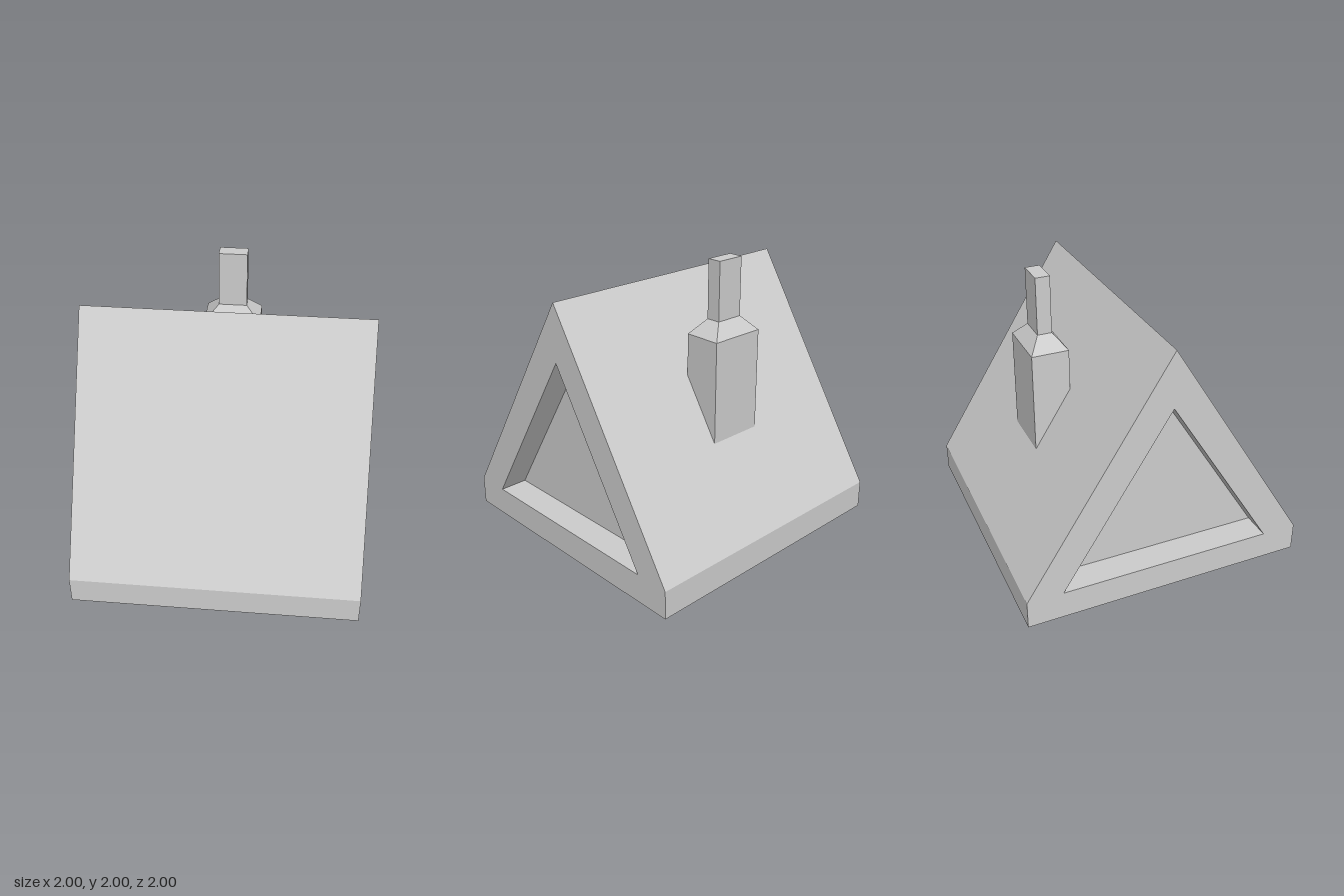
import * as THREE from 'three';

const polygon = (points) => new THREE.Shape(points.map(([a, b]) => new THREE.Vector2(a, b)));

// Extrudes a side profile (depth towards the back, height) along x, centred on x = 0
function sideExtrude(shape, width) {
  const geometry = new THREE.ExtrudeGeometry(shape, { depth: width, bevelEnabled: false });
  return geometry.translate(0, 0, -width / 2).rotateY(Math.PI / 2);
}

export function createModel() {
  const group = new THREE.Group();
  const grey = new THREE.MeshStandardMaterial({ color: 0xcccccc });
  grey.name = 'plainGrey';

  const add = (name, geometry, x = 0, y = 0, z = 0) => {
    const mesh = new THREE.Mesh(geometry, grey);
    mesh.name = name;
    mesh.position.set(x, y, z);
    group.add(mesh);
  };

  // House body: low plinth and steep roof, with a triangular opening at each gable
  const gable = [[-0.75, 0.2], [0.75, 0.2], [0, 1.4]];
  const outline = polygon([[-1, 0], [1, 0], [1, 0.2], [0, 1.8], [-1, 0.2]]);
  outline.holes.push(polygon(gable));
  add('houseBody', sideExtrude(outline, 2));

  // Gable walls, set back 0.2 from each end
  add('recessedGableWalls', sideExtrude(polygon(gable), 1.6));

  // Chimney base, its foot following the roof slope
  const base = polygon([[0.37, 1.19], [0.63, 0.775], [0.63, 1.5], [0.37, 1.5]]);
  add('chimneyBase', sideExtrude(base, 0.4));

  // Sloped chimney shoulder: a box narrowed at the top
  const shoulder = new THREE.BoxGeometry(0.4, 0.1, 0.26);
  const p = shoulder.attributes.position;
  for (let i = 0; i < p.count; i++) {
    if (p.getY(i) > 0) {
      p.setX(i, Math.sign(p.getX(i)) * 0.1);
      p.setZ(i, Math.sign(p.getZ(i)) * 0.05);
    }
  }
  shoulder.computeVertexNormals();
  add('chimneyShoulder', shoulder, 0, 1.55, -0.5);

  // Chimney stack
  add('chimneyStack', new THREE.BoxGeometry(0.2, 0.4, 0.1), 0, 1.8, -0.5);

  return group;
}
